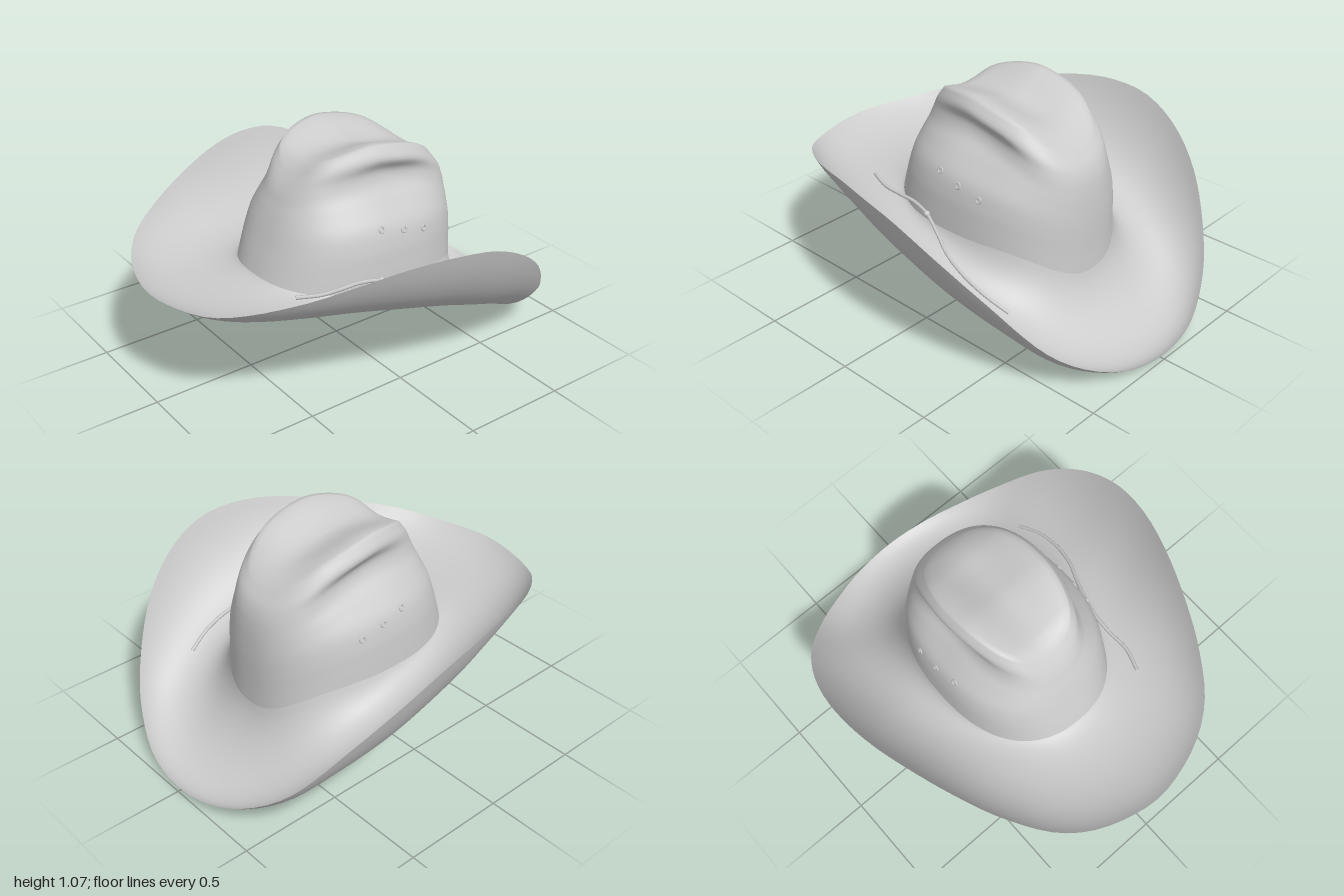
import * as THREE from 'three';

const SEG = 96; // points around the hat, starting at the front (+z) and going towards +x
const V = (x, y, z) => new THREE.Vector3(x, y, z);
const felt = new THREE.MeshStandardMaterial({ color: 0xcccccc, side: THREE.DoubleSide });

// Skin a list of closed loops
function loft(name, rows) {
  const n = rows[0].length, index = [];
  for (let i = 0; i < rows.length - 1; i++) {
    for (let j = 0; j < n; j++) {
      const k = (j + 1) % n, a = i * n + j, b = i * n + k;
      index.push(a, b, a + n, b, b + n, a + n);
    }
  }
  const geo = new THREE.BufferGeometry().setFromPoints(rows.flat());
  geo.setIndex(index);
  geo.computeVertexNormals();
  const mesh = new THREE.Mesh(geo, felt);
  mesh.name = name;
  return mesh;
}

// Smooth curve through [key, value] pairs with ascending keys
function lookup(table, key) {
  const last = table.length - 1;
  const at = (i) => table[THREE.MathUtils.clamp(i, 0, last)];
  let i = 0;
  while (i < last - 1 && key > table[i + 1][0]) i++;
  const slope = (k) => (at(k + 1)[1] - at(k - 1)[1]) / (at(k + 1)[0] - at(k - 1)[0]);
  const [k0, v0] = at(i), [k1, v1] = at(i + 1), d = k1 - k0;
  const t = THREE.MathUtils.clamp((key - k0) / d, 0, 1), u = 1 - t;
  return v0 * u * u * (1 + 2 * t) + slope(i) * d * t * u * u + v1 * t * t * (3 - 2 * t) - slope(i + 1) * d * t * t * u;
}

// Rounded oval loop in plan, with the height left to a function of x, z and direction
function oval(width, front, back, round, height) {
  const zc = (front + back) / 2, half = (front - back) / 2, pts = [];
  const soft = (v) => Math.sign(v) * Math.abs(v) ** round;
  for (let j = 0; j < SEG; j++) {
    const a = (j / SEG) * Math.PI * 2, c = Math.cos(a);
    const x = width * soft(Math.sin(a)), z = zc + half * soft(c);
    pts.push(V(x, height(x, z, c), z));
  }
  return pts;
}

// Where the crown meets the brim
const base = oval(0.405, 0.475, -0.575, 0.87, (x, z, c) => 0.455 + (c > 0 ? 0.035 : -0.165) * c ** 4);

// Top of the crown: ridge height and valley depth along z
const RIDGE = [[-0.5, 0.84], [-0.42, 0.92], [-0.3, 1.0], [-0.1, 1.055], [0, 1.06], [0.15, 1.035], [0.21, 1.01], [0.26, 0.96]];
const VALLEY = [[-0.5, 0], [-0.42, 0.015], [-0.25, 0.06], [-0.05, 0.065], [0.12, 0.05], [0.26, 0.025]];
function topHeight(x, z) {
  return lookup(RIDGE, z) - lookup(VALLEY, z) * (1 - THREE.MathUtils.smoothstep(Math.abs(x), 0, 0.23));
}

// Crown wall: inward travel from base to rim at [height, side, front, back] and flank push
const WALL = [
  [0, 0, 0, 0, 0],
  [0.15, 0.03, 0.11, 0.03, 0],
  [0.3, 0.08, 0.23, 0.04, 0],
  [0.45, 0.22, 0.35, 0.06, 0],
  [0.6, 0.53, 0.48, 0.11, -0.01],
  [0.7, 0.75, 0.58, 0.17, -0.02],
  [0.8, 0.86, 0.68, 0.28, -0.012],
  [0.9, 0.86, 0.82, 0.52, 0.022],
  [1, 1, 1, 1, 0.012],
];

function crown() {
  const rim = oval(0.225, 0.25, -0.47, 0.74, topHeight), rows = [], steps = 40;
  for (let i = 0; i <= steps; i++) {
    const v = i / steps;
    const [side, front, back, push] = [1, 2, 3, 4].map((k) => lookup(WALL.map((w) => [w[0], w[k]]), v));
    rows.push(base.map((b, j) => {
      const r = rim[j], a = (j / SEG) * Math.PI * 2, c = Math.cos(a);
      const h = side + ((c > 0 ? front : back) - side) * c * c;
      const z = THREE.MathUtils.lerp(b.z, r.z, h);
      const bulge = push * Math.sin(a) * Math.exp(-(((z + 0.14) / 0.2) ** 2));
      return V(THREE.MathUtils.lerp(b.x, r.x, h) + bulge, THREE.MathUtils.lerp(b.y, r.y, v), z);
    }));
  }
  // Top surface, closing on the middle
  for (let i = 1; i <= 12; i++) {
    const r = 1 - i / 12;
    rows.push(rows[steps].map((p) => {
      const x = p.x * r, z = -0.11 + (p.z + 0.11) * r;
      return V(x, topHeight(x, z), z);
    }));
  }
  return loft('crown', rows);
}

function brim() {
  const half = [
    [0, 0.56, 0.995], [0.18, 0.563, 0.965], [0.34, 0.575, 0.9], [0.47, 0.61, 0.8], [0.61, 0.665, 0.6],
    [0.705, 0.72, 0.4], [0.78, 0.765, 0.2], [0.835, 0.78, 0], [0.855, 0.755, -0.2], [0.83, 0.66, -0.4],
    [0.745, 0.495, -0.6], [0.57, 0.235, -0.8], [0.41, 0.115, -0.9], [0.22, 0.045, -0.973], [0, 0.025, -1],
  ].map((p) => V(...p));
  const mirrored = half.slice(1, -1).reverse().map((p) => V(-p.x, p.y, p.z));
  const edge = new THREE.CatmullRomCurve3([...half, ...mirrored], true).getSpacedPoints(SEG);
  // Control height of the brim's trough along the length of the hat
  const trough = [[-0.9, -0.08], [-0.8, -0.035], [-0.6, 0.1], [-0.4, 0.2], [-0.1, 0.325], [0.25, 0.415], [0.5, 0.44], [1, 0.435]];
  const ribs = base.map((inner, j) => {
    const via = (f) => {
      const p = inner.clone().lerp(edge[j], f);
      return p.setY(lookup(trough, p.z));
    };
    return new THREE.CubicBezierCurve3(inner, via(0.1), via(0.72), edge[j]);
  });
  const rows = [];
  for (let i = 0; i <= 28; i++) rows.push(ribs.map((rib) => rib.getPoint(1 - i / 28)));
  return loft('brim', rows);
}

// Thin cord resting above the brim, with a small knot beside the crown
function cord(brimMesh) {
  const ray = new THREE.Raycaster();
  const path = [
    [0.51, -0.53], [0.54, -0.42], [0.545, -0.3], [0.52, -0.17], [0.47, -0.06], [0.42, 0.06],
    [0.395, 0.17], [0.39, 0.26], [0.39, 0.37], [0.355, 0.48],
  ].map(([x, z]) => {
    ray.set(V(x, 3, z), V(0, -1, 0));
    const hit = ray.intersectObject(brimMesh)[0];
    return V(x, (hit ? hit.point.y : 0.45) + 0.07, z);
  });
  const group = new THREE.Group();
  group.name = 'cord';
  const string = new THREE.Mesh(new THREE.TubeGeometry(new THREE.CatmullRomCurve3(path), 60, 0.009, 6), felt);
  string.name = 'cordString';
  const knot = new THREE.Mesh(new THREE.SphereGeometry(0.015, 10, 8), felt);
  knot.name = 'cordKnot';
  knot.position.copy(path[5]);
  group.add(string, knot);
  return group;
}

export function createModel() {
  const hat = new THREE.Group();
  hat.name = 'hat';
  const brimMesh = brim(), crownMesh = crown();
  hat.add(crownMesh, brimMesh, cord(brimMesh));

  // Three vent eyelets on each side, seated on the crown wall
  const ray = new THREE.Raycaster();
  for (const side of [-1, 1]) {
    for (const z of [-0.22, -0.1, 0.02]) {
      ray.set(V(side, 0.69 + (z + 0.1) * 0.25, z), V(-side, 0, 0));
      const hit = ray.intersectObject(crownMesh)[0];
      const eyelet = new THREE.Mesh(new THREE.TorusGeometry(0.013, 0.005, 6, 14), felt);
      eyelet.name = 'eyelet';
      eyelet.position.copy(hit.point);
      eyelet.lookAt(hit.point.clone().add(hit.face.normal));
      hat.add(eyelet);
    }
  }
  return hat;
}
